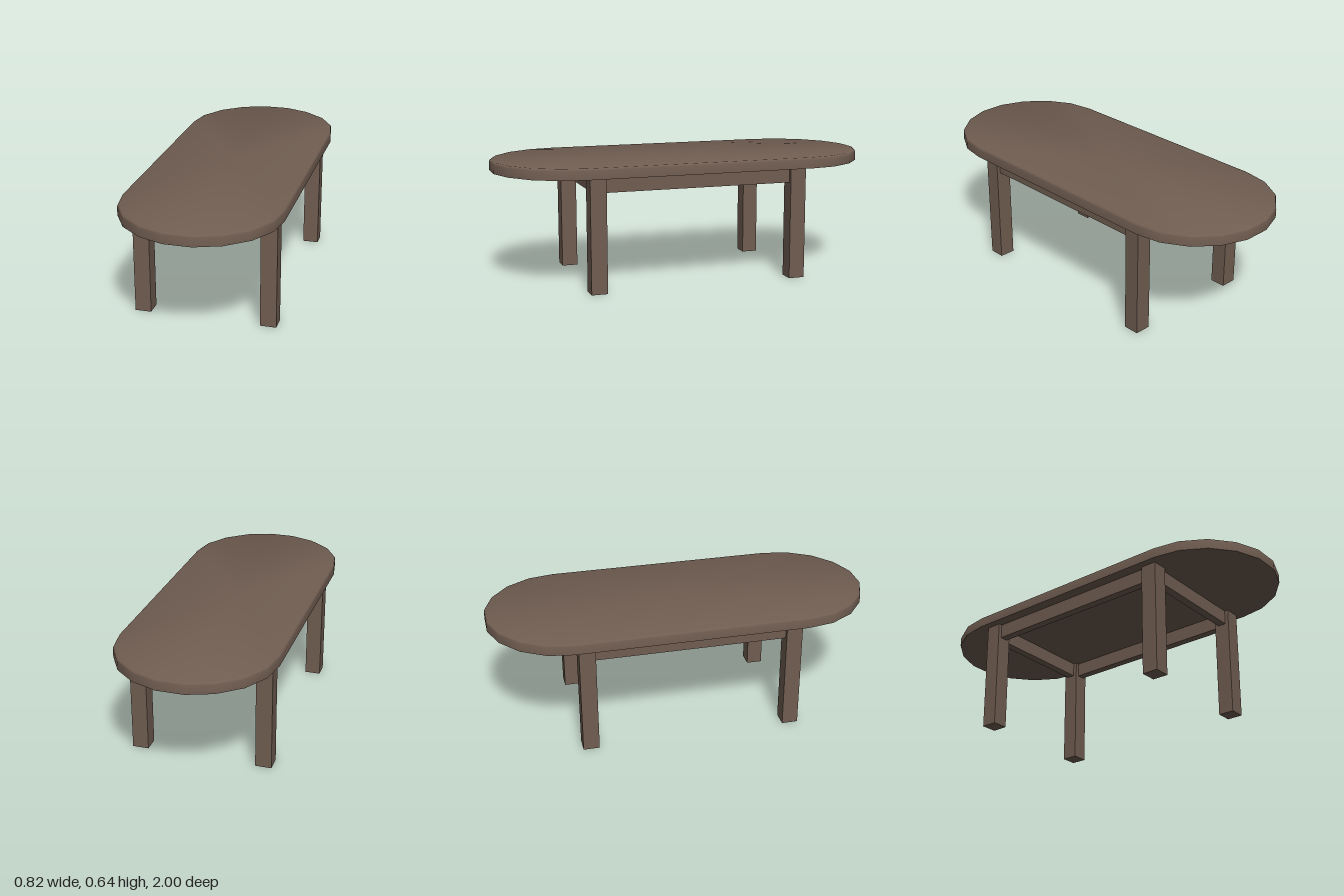
import * as THREE from 'three';
import { toCreasedNormals } from 'three/addons/utils/BufferGeometryUtils.js';

const TOP = 0.645, UNDER = 0.588;
const LEG = 0.084, LEG_X = 0.328, LEG_Z = 0.537;

// Oval slab made of stacked outline rings, closed by a fan above and below
function tabletopGeometry() {
  const quarter = [[0.408, 0.6], [0.385, 0.735], [0.312, 0.86], [0.2, 0.952], [0.07, 1]];
  const half = [...quarter, ...quarter.map(([x, z]) => [-x, z]).reverse()];
  const outline = [...half, ...half.map(([x, z]) => [-x, -z])];
  const rings = [[UNDER, 0], [0.633, 0], [0.642, 0.003], [TOP, 0.009]]; // height, inset
  const n = outline.length;
  const positions = [], index = [];
  for (const [y, inset] of rings) {
    for (const [x, z] of outline) positions.push(x * (1 - inset / 0.408), y, z * (1 - inset));
  }
  const bottom = rings.length * n, top = bottom + 1, last = (rings.length - 1) * n;
  positions.push(0, UNDER, 0, 0, TOP, 0);
  for (let i = 0; i < n; i++) {
    const j = (i + 1) % n;
    for (let r = 0; r < last; r += n) {
      index.push(r + i, r + n + i, r + j, r + j, r + n + i, r + n + j);
    }
    index.push(bottom, i, j, top, last + j, last + i);
  }
  const geometry = new THREE.BufferGeometry();
  geometry.setAttribute('position', new THREE.Float32BufferAttribute(positions, 3));
  geometry.setIndex(index);
  return toCreasedNormals(geometry, 0.9);
}

export function createModel() {
  const table = new THREE.Group();
  table.name = 'table';
  const wood = new THREE.MeshStandardMaterial({ color: 0x705d51 });
  wood.name = 'brown wood';

  const add = (name, geometry, x = 0, y = 0, z = 0) => {
    const mesh = new THREE.Mesh(geometry, wood);
    mesh.name = name;
    mesh.position.set(x, y, z);
    table.add(mesh);
  };

  add('tabletop', tabletopGeometry());

  // Legs
  const leg = new THREE.BoxGeometry(LEG, UNDER, LEG);
  for (const sx of [-1, 1]) {
    for (const sz of [-1, 1]) {
      add(`${sz > 0 ? 'front' : 'back'}${sx > 0 ? 'Left' : 'Right'}Leg`, leg, sx * LEG_X, UNDER / 2, sz * LEG_Z);
    }
  }

  // Aprons, set in from the leg faces
  const height = 0.077, thick = 0.044, y = UNDER - height / 2;
  const endApron = new THREE.BoxGeometry(2 * LEG_X - LEG, height, thick);
  const sideApron = new THREE.BoxGeometry(thick, height, 2 * LEG_Z - LEG);
  for (const s of [-1, 1]) {
    add(s > 0 ? 'frontApron' : 'backApron', endApron, 0, y, s * LEG_Z);
    add(s > 0 ? 'leftApron' : 'rightApron', sideApron, s * LEG_X, y, 0);
  }
  return table;
}
